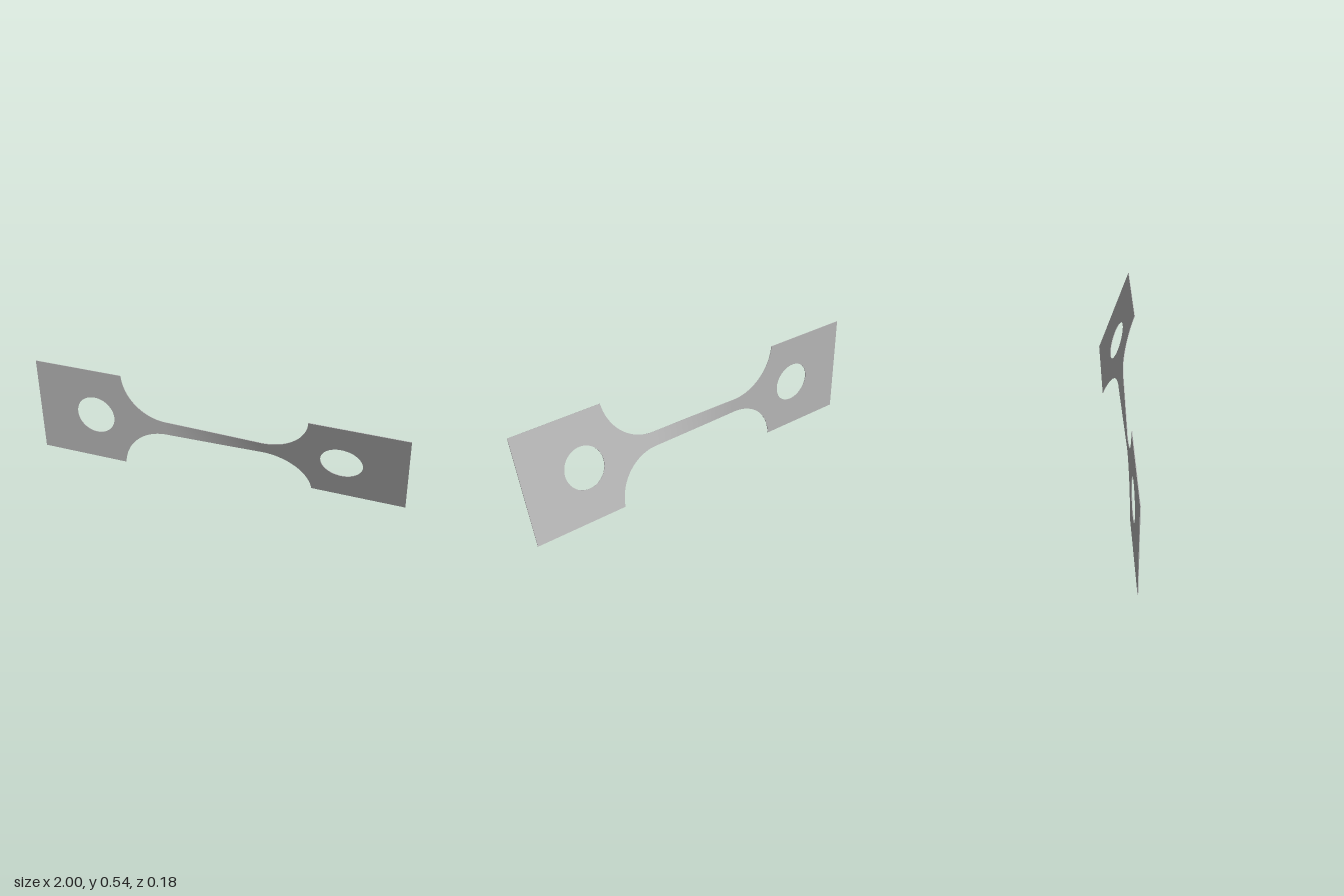
import * as THREE from 'three';

const THICK = 0.003, HALF = 0.27, FILLET = 0.25, NECK_END = 0.26, NECK_HALF = 0.037;
const TILT_LEFT = 0.01, TILT_RIGHT = 0.34; // tilt about x at each end

// Flat grip plate with filleted shoulders and a round hole, extending toward +x
function gripGeometry() {
  const cy = NECK_HALF + FILLET;
  const a = Math.asin((cy - HALF) / FILLET);
  const s = new THREE.Shape();
  s.moveTo(NECK_END, -NECK_HALF);
  s.absarc(NECK_END, -cy, FILLET, Math.PI / 2, a, true);
  s.lineTo(1, -HALF);
  s.lineTo(1, HALF);
  s.absarc(NECK_END, cy, FILLET, -a, -Math.PI / 2, true);
  s.closePath();
  const hole = new THREE.Path();
  hole.absarc(0.67, 0, 0.108, 0, Math.PI * 2, true);
  s.holes.push(hole);
  const g = new THREE.ExtrudeGeometry(s, { depth: THICK, bevelEnabled: false, curveSegments: 32 });
  return g.translate(0, 0, -THICK / 2);
}

// Slender neck whose tilt runs evenly from one grip to the other
function neckGeometry() {
  const g = new THREE.BoxGeometry(NECK_END * 2, NECK_HALF * 2, THICK, 40, 4, 1);
  const p = g.attributes.position, v = new THREE.Vector3(), axis = new THREE.Vector3(1, 0, 0);
  for (let i = 0; i < p.count; i++) {
    v.fromBufferAttribute(p, i);
    const t = (v.x + NECK_END) / (2 * NECK_END);
    v.applyAxisAngle(axis, THREE.MathUtils.lerp(TILT_LEFT, TILT_RIGHT, t));
    p.setXYZ(i, v.x, v.y, v.z);
  }
  g.computeVertexNormals();
  return g;
}

export function createModel() {
  const group = new THREE.Group();
  group.name = 'twistedTestStrip';
  const metal = new THREE.MeshStandardMaterial({ color: 0xb4b4b4 });
  metal.name = 'grey metal';

  const add = (name, geometry) => {
    const mesh = new THREE.Mesh(geometry, metal);
    mesh.name = name;
    mesh.position.y = HALF;
    group.add(mesh);
  };
  add('leftGrip', gripGeometry().rotateX(TILT_RIGHT));
  add('neck', neckGeometry());
  add('rightGrip', gripGeometry().rotateY(Math.PI).rotateX(TILT_LEFT));
  return group;
}
